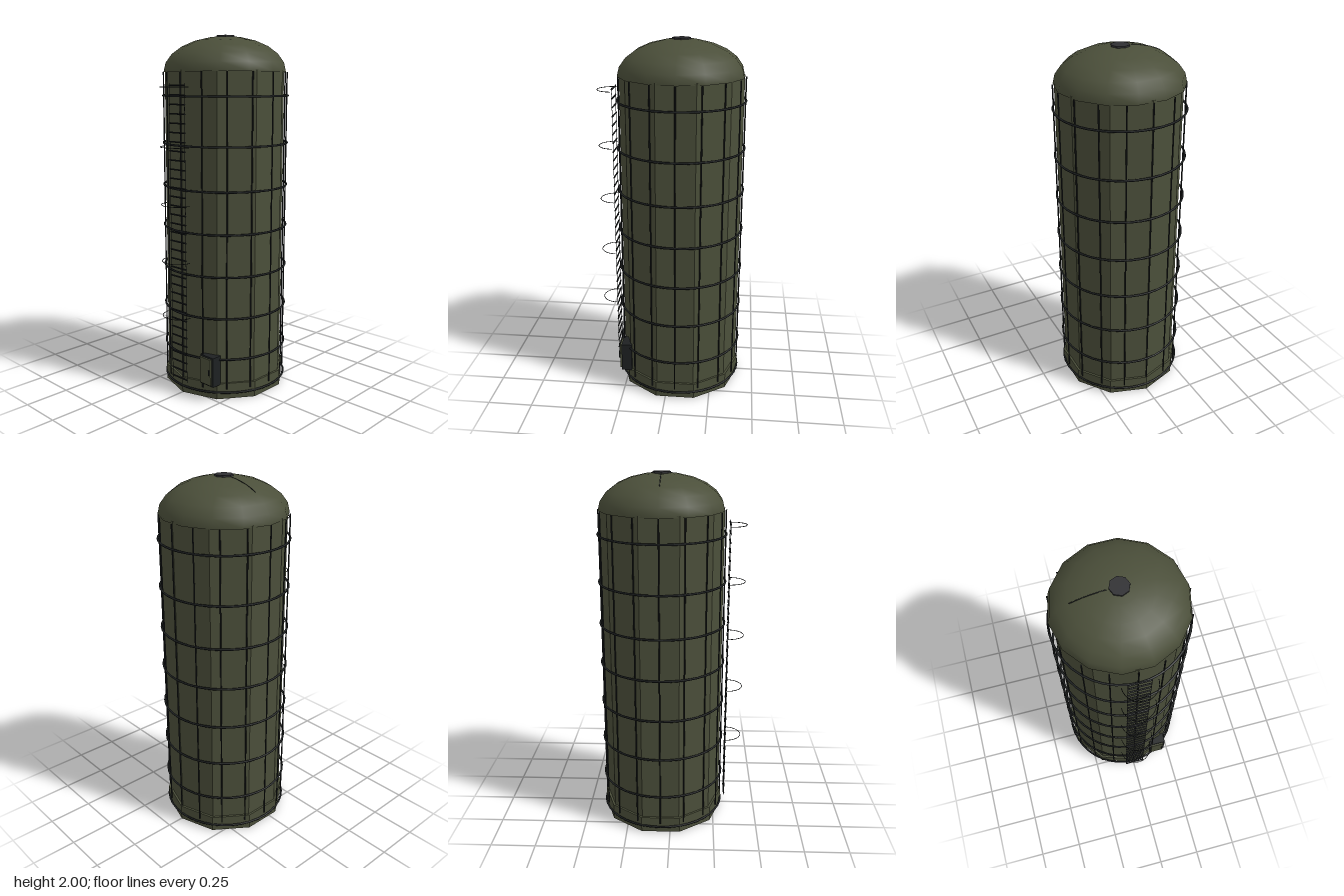
import * as THREE from 'three';

const CZ = -0.055; // silo axis
const olive = new THREE.MeshStandardMaterial({ color: 0x4b4f3a, side: THREE.DoubleSide });
olive.name = 'olive paint';
const oliveFlat = new THREE.MeshStandardMaterial({ color: 0x4b4f3a, flatShading: true });
oliveFlat.name = 'olive paint faceted';
const steel = new THREE.MeshStandardMaterial({ color: 0x1e2122 });
steel.name = 'dark steel';
const capGrey = new THREE.MeshStandardMaterial({ color: 0x303033, flatShading: true });
capGrey.name = 'cap grey';

export function createModel() {
  const model = new THREE.Group();
  model.name = 'silo';

  const add = (parent, name, geometry, material, x = 0, y = 0, z = 0) => {
    const mesh = new THREE.Mesh(geometry, material);
    mesh.name = name;
    mesh.position.set(x, y, z);
    parent.add(mesh);
    return mesh;
  };
  const group = (name, z = 0) => {
    const g = new THREE.Group();
    g.name = name;
    g.position.z = z;
    model.add(g);
    return g;
  };

  // Ten-sided wall and foundation
  const shell = group('shell', CZ);
  add(shell, 'wall', new THREE.CylinderGeometry(0.34, 0.34, 1.76, 10), oliveFlat, 0, 0.93);
  add(shell, 'foundation', new THREE.CylinderGeometry(0.352, 0.352, 0.09, 10), oliveFlat, 0, 0.045);

  // Smooth domed roof with a vent cap
  const dome = new THREE.SphereGeometry(0.346, 14, 6, 0, Math.PI * 2, 0, Math.PI / 2);
  dome.scale(1, 0.195 / 0.346, 1);
  add(shell, 'dome', dome, olive, 0, 1.8);
  add(shell, 'ventCap', new THREE.CylinderGeometry(0.05, 0.05, 0.014, 8), capGrey, 0, 1.993);

  // Thin conduit lying on the roof
  const roofPoints = [];
  for (let i = 0; i <= 6; i++) {
    const x = 0.06 + i * 0.029;
    roofPoints.push(new THREE.Vector3(-x, 1.8 + 0.195 * Math.sqrt(1 - (x / 0.346) ** 2) - 0.001, 0));
  }
  add(shell, 'roofConduit',
    new THREE.TubeGeometry(new THREE.CatmullRomCurve3(roofPoints), 12, 0.0022, 5), steel);

  // Hoops around the wall
  const hoops = group('hoops', CZ);
  const hoopGeometry = new THREE.TorusGeometry(0.351, 0.006, 6, 40).rotateX(Math.PI / 2);
  for (const y of [0.04, 0.235, 0.47, 0.705, 0.94, 1.172, 1.41, 1.672])
    add(hoops, 'hoop', hoopGeometry, steel, 0, y);

  // Upright rods under the hoops
  const rods = group('rods', CZ);
  const rodGeometry = new THREE.CylinderGeometry(0.004, 0.004, 1.74, 6);
  for (let i = 0; i < 16; i++) {
    const a = (i * Math.PI) / 8;
    add(rods, 'rod', rodGeometry, steel, 0.347 * Math.sin(a), 0.93, 0.347 * Math.cos(a));
  }

  // Ladder
  const ladder = group('ladder', 0.317);
  const rungGeometry = new THREE.CylinderGeometry(0.0045, 0.0045, 0.12, 6).rotateZ(Math.PI / 2);
  for (let i = 0; i < 34; i++)
    add(ladder, 'rung', rungGeometry, steel, 0, 0.095 + i * 0.0495);
  for (const side of [-1, 1])
    add(ladder, 'rail', new THREE.CylinderGeometry(0.0015, 0.0015, 1.66, 5), steel, side * 0.058, 0.91);

  // Half-round safety cage hoops
  const cageGeometry = new THREE.TorusGeometry(0.09, 0.002, 5, 20, Math.PI).rotateX(Math.PI / 2);
  for (const y of [0.47, 0.782, 1.095, 1.407, 1.72])
    add(ladder, 'cageHoop', cageGeometry, steel, 0, y);

  // Access hatch near the ground
  const hatch = group('hatch');
  add(hatch, 'hatchFrame', new THREE.BoxGeometry(0.1, 0.17, 0.06), steel, 0.17, 0.172, 0.242);
  add(hatch, 'hatchDoor', new THREE.BoxGeometry(0.08, 0.15, 0.012), oliveFlat, 0.168, 0.172, 0.277);
  add(hatch, 'hatchHandle', new THREE.BoxGeometry(0.006, 0.03, 0.008), steel, 0.2, 0.172, 0.287);

  return model;
}
